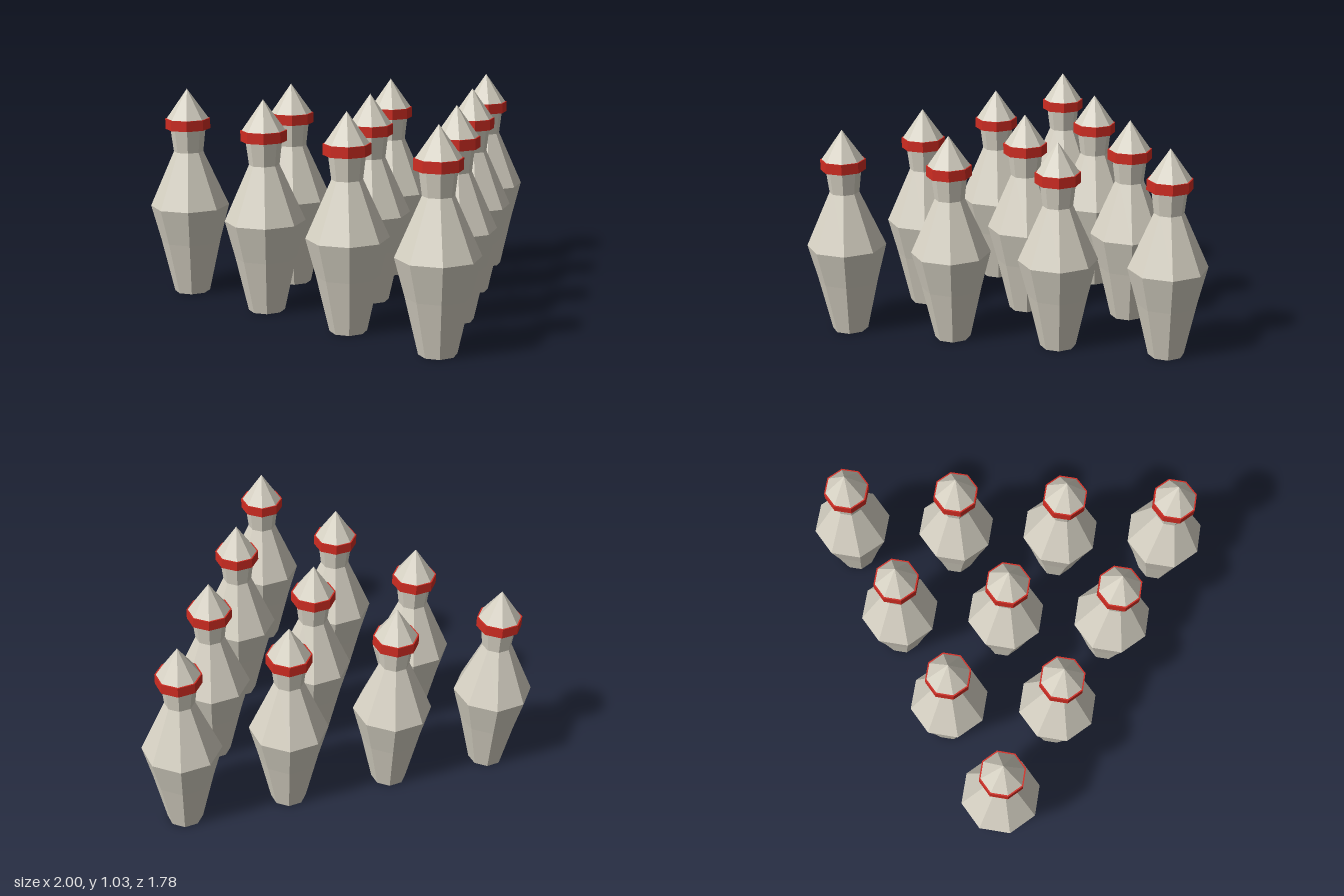
import * as THREE from 'three';

const SIDES = 8;

// Faceted solid of revolution from [radius, height] pairs, bottom to top
function lathe(profile) {
  return new THREE.LatheGeometry(profile.map(([r, y]) => new THREE.Vector2(r, y)), SIDES);
}

export function createModel() {
  const model = new THREE.Group();
  model.name = 'pinRack';

  const cream = new THREE.MeshStandardMaterial({ color: 0xd6d1c3, flatShading: true });
  cream.name = 'cream';
  const red = new THREE.MeshStandardMaterial({ color: 0xd02c22, flatShading: true });
  red.name = 'red';

  const parts = [
    // Closed base, swelling belly and flared neck
    ['body', cream, lathe([[0, 0], [0.088, 0], [0.148, 0.265], [0.195, 0.445], [0.073, 0.72], [0.087, 0.835]])],
    // Collar standing slightly proud of the neck and head
    ['neckBand', red, lathe([[0.085, 0.835], [0.111, 0.835], [0.111, 0.887], [0.1, 0.887]])],
    // Pointed head
    ['head', cream, lathe([[0.104, 0.887], [0, 1.035]])],
  ];

  // Triangle of ten pins: one at the back, four at the front
  for (let row = 0; row < 4; row++) {
    for (let i = 0; i <= row; i++) {
      const pin = new THREE.Group();
      pin.name = `pin${row + 1}_${i + 1}`;
      for (const [name, material, geometry] of parts) {
        const mesh = new THREE.Mesh(geometry, material);
        mesh.name = name;
        pin.add(mesh);
      }
      pin.position.set((i - row / 2) * 0.5367, 0, (row - 1.5) * 0.464);
      model.add(pin);
    }
  }
  return model;
}
